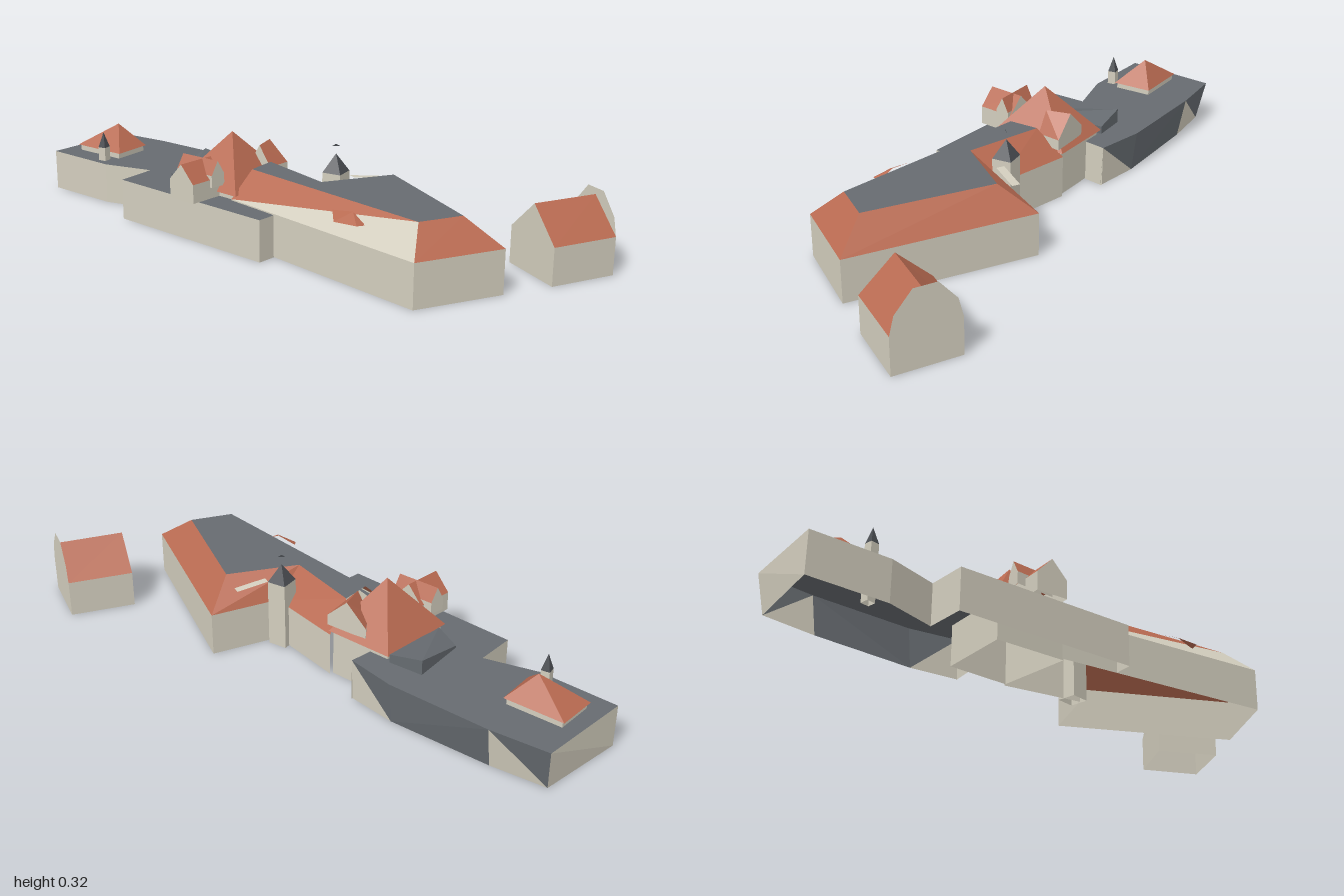
import * as THREE from 'three';

const mat = (name, color) => {
  const m = new THREE.MeshStandardMaterial({ color, side: THREE.DoubleSide, flatShading: true });
  m.name = name;
  return m;
};

export function createModel() {
  const model = new THREE.Group();
  const plaster = mat('cream plaster', 0xd2cdbd);
  const tile = mat('terracotta tile', 0xb86a51);
  const slate = mat('grey slate', 0x666b70);
  const dark = mat('dark spire metal', 0x4a4d52);

  // Flat-faced surface from convex polygons of [x, y, z] corners
  function surface(name, material, faces) {
    const p = [];
    for (const f of faces)
      for (let i = 1; i < f.length - 1; i++) p.push(...f[0], ...f[i], ...f[i + 1]);
    const g = new THREE.BufferGeometry();
    g.setAttribute('position', new THREE.Float32BufferAttribute(p, 3));
    g.computeVertexNormals();
    const mesh = new THREE.Mesh(g, material);
    mesh.name = name;
    model.add(mesh);
    return mesh;
  }
  const at = ([x, z], y) => [x, y, z];
  const mid = (a, b, t = 0.5) => a.map((v, i) => v + (b[i] - v) * t);
  const quad = (a, b, y0, y1) => [at(a, y0), at(b, y0), at(b, y1), at(a, y1)];

  // Upright walls along a plan line of [x, z] points
  function walls(name, pts, y0, y1, closed = true, material = plaster) {
    const n = pts.length, faces = [];
    for (let i = 0; i < (closed ? n : n - 1); i++) faces.push(quad(pts[i], pts[(i + 1) % n], y0, y1));
    surface(name, material, faces);
  }
  // Level roof over any plan outline
  function flatRoof(name, pts, y) {
    const g = new THREE.ShapeGeometry(new THREE.Shape(pts.map(([x, z]) => new THREE.Vector2(x, -z))));
    g.rotateX(-Math.PI / 2).translate(0, y, 0);
    const mesh = new THREE.Mesh(g, slate);
    mesh.name = name;
    model.add(mesh);
  }
  function pyramidRoof(name, pts, y, apex, material = tile) {
    surface(name, material, pts.map((p, i) => [at(pts[(i + 1) % pts.length], y), at(p, y), apex]));
  }
  // Pitched roof with gables on sides ab and cd
  function gabled(name, [a, b, c, d], base, eave, ridge) {
    const r0 = at(mid(a, b), ridge), r1 = at(mid(c, d), ridge);
    walls(name + 'Walls', [a, b, c, d], base, eave);
    surface(name + 'Gables', plaster, [[at(a, eave), at(b, eave), r0], [at(c, eave), at(d, eave), r1]]);
    surface(name + 'Roof', tile, [[at(b, eave), at(c, eave), r1, r0], [at(d, eave), at(a, eave), r0, r1]]);
  }
  // Slender stair turret with a pointed cap
  function turret(name, x, z, r, eave, top) {
    const pts = [[x - r, z - r], [x + r, z - r], [x + r, z + r], [x - r, z + r]];
    walls(name + 'Shaft', pts, 0, eave);
    pyramidRoof(name + 'Spire', pts, eave, [x, top, z], dark);
  }

  // Low flat-roofed west range
  const range = [[-0.93, -0.355], [-0.74, -0.345], [-0.4, -0.295], [-0.24, -0.24], [-0.26, -0.17], [-0.13, 0.1],
    [0.04, 0.18], [0.025, 0.24], [-0.585, 0.115], [-0.565, -0.02], [-0.74, 0], [-1, -0.045]];
  const foot = [[-0.92, -0.327], [-0.74, -0.32], [-0.4, -0.28], [-0.24, -0.235]];
  flatRoof('rangeRoof', range, 0.138);
  walls('rangeFrontWalls', range.slice(6), 0, 0.138, false);
  walls('rangeBackReturn', range.slice(3, 5), 0, 0.138, false);
  surface('rangeEndWall', plaster, [[at(range[11], 0), at(foot[0], 0), at(range[0], 0.138), at(range[11], 0.138)]]);

  // Leaning back wall, part slate and part plaster
  const hi = range.slice(0, 4).map((p) => at(p, 0.138)), lo = foot.map((p) => at(p, 0));
  surface('rangeBackSlate', slate, [[hi[0], hi[1], lo[0]], [hi[1], hi[2], lo[2], lo[1]], [hi[2], hi[3], lo[2]]]);
  surface('rangeBackPlaster', plaster, [[hi[1], lo[1], lo[0]], [hi[3], lo[3], lo[2]]]);

  // Raised slate lean-to beside the tower
  const lean = [[-0.455, 0.187, -0.2], [-0.34, 0.165, -0.19], [-0.38, 0.152, 0.05], [-0.47, 0.145, -0.01]];
  surface('leanToRoof', slate, [lean, ...lean.map((p, i) => {
    const q = lean[(i + 1) % 4];
    return [p, q, [q[0], 0.138, q[2]], [p[0], 0.138, p[2]]];
  })]);

  // Pavilion on the west range
  const pavilion = [[-0.915, -0.235], [-0.72, -0.21], [-0.735, -0.072], [-0.938, -0.1]];
  walls('pavilionWalls', pavilion.map((p) => mid(p, [-0.83, -0.155], 0.08)), 0.138, 0.158);
  pyramidRoof('pavilionRoof', pavilion, 0.158, [-0.8, 0.24, -0.16]);
  turret('westTurret', -0.78, -0.045, 0.014, 0.185, 0.238);

  // Main wing: eave line and ridge line share the same corner order
  const eave = [[-0.15, 0.12], [0.585, 0.345], [0.767, 0.115], [0.27, -0.255], [0.15, -0.06], [-0.11, -0.155]];
  const ridge = [[-0.12, 0.04], [0.55, 0.243], [0.64, 0.13], [0.3, -0.13], [0.137, 0.05], [-0.11, -0.06]];
  const E = eave.map((p) => at(p, 0.142)), R = ridge.map((p) => at(p, 0.225));
  walls('mainWalls', eave, 0, 0.142, false);
  flatRoof('mainFlatRoof', ridge, 0.225);
  surface('mainRoofSlopes', tile, [[E[0], R[1], R[0]],
    ...[1, 2, 3, 4].map((i) => [E[i], E[i + 1], R[i + 1], R[i]])]);
  surface('mainFrontPaleSlope', plaster, [[E[0], E[1], R[1]]]);

  // Low dormer on the front slope
  const dormer = [[0.255, 0.2, 0.203], [0.365, 0.185, 0.262], [0.38, 0.182, 0.235], [0.285, 0.182, 0.252],
    [0.33, 0.21, 0.215]];
  surface('frontDormer', tile, [[dormer[0], dormer[3], dormer[4]], [dormer[3], dormer[1], dormer[4]],
    [dormer[1], dormer[2], dormer[4]]]);

  // Skylight strip on the inner slope
  surface('skylight', plaster, [[[0.168, 0.215, -0.085], [0.19, 0.215, -0.07], [0.25, 0.2, -0.155], [0.228, 0.2, -0.17]]]);

  // Courtyard turret with a small finial
  turret('courtTurret', 0.125, -0.07, 0.032, 0.225, 0.285);
  surface('courtFinial', dark, [[[0.115, 0.31, -0.062], [0.125, 0.317, -0.069], [0.135, 0.31, -0.076]]]);

  // Square tower with tall pyramid roof
  const tower = [[-0.335, -0.19], [-0.105, -0.155], [-0.13, 0.127], [-0.39, 0.073]];
  walls('towerWalls', tower.map((p) => mid(p, [-0.24, -0.035], 0.08)), 0, 0.16);
  pyramidRoof('towerRoof', tower, 0.155, [-0.235, 0.32, -0.027]);

  // Gabled bays on the tower
  gabled('backBay', [[-0.24, -0.16], [-0.095, -0.145], [-0.115, -0.065], [-0.2, -0.075]], 0.17, 0.205, 0.272);
  gabled('frontBay', [[-0.34, 0.185], [-0.235, 0.21], [-0.205, 0.085], [-0.31, 0.06]], 0.138, 0.2, 0.257);
  gabled('crossBay', [[-0.195, 0.09], [-0.21, 0.14], [-0.355, 0.12], [-0.34, 0.07]], 0.175, 0.215, 0.26);

  // Detached house
  const house = [[0.693, -0.14], [0.87, -0.012], [1, -0.19], [0.826, -0.31]];
  gabled('house', house, 0, 0.122, 0.225);

  // Shaped parapet gable at the back of the house
  const profile = [[0, 0.12], [0.07, 0.18], [0.33, 0.245], [0.67, 0.245], [0.93, 0.18], [1, 0.12]];
  surface('houseParapetGable', plaster, [profile.map(([t, y]) => at(mid(house[3], house[2], t), y))]);

  return model;
}
